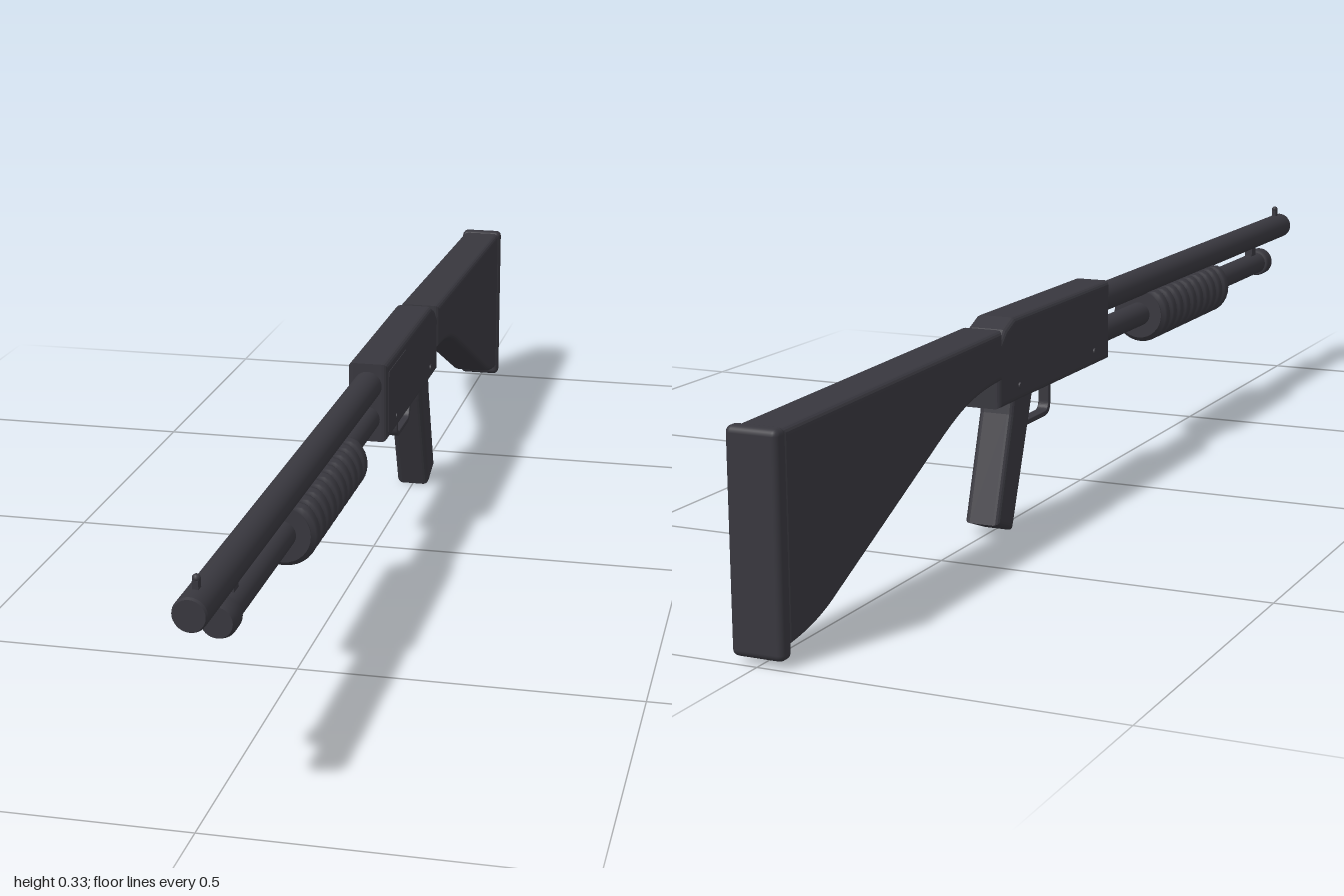
import * as THREE from 'three';
import { RoundedBoxGeometry } from 'three/addons/geometries/RoundedBoxGeometry.js';

const BORE_Y = 0.29, TUBE_Y = 0.235;

export function createModel() {
  const group = new THREE.Group();
  const metal = new THREE.MeshStandardMaterial({ color: 0x38373e });
  metal.name = 'dark gunmetal';

  function add(name, geometry, x = 0, y = 0, z = 0) {
    const mesh = new THREE.Mesh(geometry, metal);
    mesh.name = name;
    mesh.position.set(x, y, z);
    group.add(mesh);
    return mesh;
  }

  // Side profile drawn as (z, y), extruded across x with rounded edges
  function slab(name, shape, width, bevel) {
    const g = new THREE.ExtrudeGeometry(shape, {
      depth: width - 2 * bevel, bevelThickness: bevel, bevelSize: bevel,
      bevelOffset: -bevel, bevelSegments: 4, curveSegments: 12,
    });
    g.translate(0, 0, bevel - width / 2);
    g.rotateY(-Math.PI / 2);
    return add(name, g);
  }

  const polygon = (pts) => new THREE.Shape(pts.map(([z, y]) => new THREE.Vector2(z, y)));

  // Turned part along z from (radius, z) points
  function turned(name, pts, y) {
    const g = new THREE.LatheGeometry(pts.map(([r, z]) => new THREE.Vector2(r, z)), 32);
    g.rotateX(Math.PI / 2);
    return add(name, g, 0, y, 0);
  }

  // Barrel and magazine tube
  turned('barrel', [[0, 0.02], [0.023, 0.02], [0.023, 0.02], [0.023, 0.996],
    [0.023, 0.996], [0.021, 1], [0.021, 1], [0, 1]], BORE_Y);
  turned('magazineTube', [[0, 0.02], [0.02, 0.02], [0.02, 0.02], [0.02, 0.87], [0.02, 0.87], [0, 0.87]], TUBE_Y);
  turned('magazineCap', [[0, 0.852], [0.022, 0.852], [0.025, 0.857], [0.025, 0.878],
    [0.021, 0.888], [0.021, 0.888], [0, 0.888]], TUBE_Y);
  add('barrelBracket', new THREE.BoxGeometry(0.014, 0.04, 0.022), 0, 0.262, 0.822);

  // Front sight
  add('sightBase', new THREE.BoxGeometry(0.008, 0.016, 0.012), 0, 0.316, 0.966);
  add('sightBead', new THREE.SphereGeometry(0.0055, 12, 8), 0, 0.326, 0.966);

  // Ribbed pump handle, flattened on top beneath the barrel
  const ribs = 10, start = 0.248, pitch = 0.0325;
  const profile = [[0, start], [0.041, start], [0.041, start]];
  for (let i = 0; i < ribs; i++) {
    const z = start + i * pitch;
    profile.push([0.041, z + 0.004], [0.047, z + 0.006], [0.049, z + 0.011],
      [0.049, z + 0.022], [0.047, z + 0.027], [0.041, z + 0.029]);
  }
  const end = start + ribs * pitch;
  profile.push([0.041, end], [0.041, end], [0, end]);
  const pump = turned('pumpHandle', profile, TUBE_Y).geometry;
  const p = pump.attributes.position;
  for (let i = 0; i < p.count; i++) p.setY(i, Math.min(p.getY(i), 0.038));
  pump.computeVertexNormals();

  // Receiver with sloped rear shoulder
  slab('receiver', polygon([[0.045, 0.198], [0.045, 0.326], [-0.315, 0.326],
    [-0.345, 0.313], [-0.367, 0.293], [-0.367, 0.198]]), 0.064, 0.009);
  add('sidePanel', new THREE.BoxGeometry(0.002, 0.1, 0.13), 0.032, 0.262, -0.03);
  for (const z of [-0.02, -0.3]) {
    const pin = add('receiverPin', new THREE.CylinderGeometry(0.005, 0.005, 0.069, 12), 0, 0.222, z);
    pin.rotation.z = Math.PI / 2;
  }

  // Shoulder stock
  const stock = new THREE.Shape();
  stock.moveTo(-0.362, 0.315);
  stock.lineTo(-0.978, 0.302);
  stock.lineTo(-0.978, 0.026);
  stock.bezierCurveTo(-0.93, 0.03, -0.89, 0.04, -0.85, 0.06);
  stock.lineTo(-0.56, 0.193);
  stock.bezierCurveTo(-0.49, 0.225, -0.45, 0.236, -0.362, 0.24);
  slab('stock', stock, 0.07, 0.009);
  add('buttPad', new RoundedBoxGeometry(0.075, 0.294, 0.025, 3, 0.009), 0, 0.158, -0.9875);

  // Pistol grip
  slab('grip', polygon([[-0.24, 0.21], [-0.312, 0.21], [-0.318, 0.18],
    [-0.37, 0.022], [-0.316, 0.002], [-0.25, 0.178]]), 0.056, 0.009);

  // Trigger guard: narrow bent strip
  const guard = new THREE.Shape();
  guard.moveTo(-0.138, 0.205);
  guard.lineTo(-0.138, 0.165);
  guard.quadraticCurveTo(-0.138, 0.143, -0.16, 0.143);
  guard.lineTo(-0.225, 0.143);
  guard.quadraticCurveTo(-0.243, 0.143, -0.25, 0.165);
  guard.lineTo(-0.262, 0.205);
  guard.lineTo(-0.254, 0.205);
  guard.lineTo(-0.243, 0.168);
  guard.quadraticCurveTo(-0.238, 0.151, -0.225, 0.151);
  guard.lineTo(-0.16, 0.151);
  guard.quadraticCurveTo(-0.146, 0.151, -0.146, 0.165);
  guard.lineTo(-0.146, 0.205);
  slab('triggerGuard', guard, 0.018, 0.0015);

  // Curved trigger
  const path = new THREE.QuadraticBezierCurve3(
    new THREE.Vector3(0, 0.205, -0.208), new THREE.Vector3(0, 0.182, -0.222), new THREE.Vector3(0, 0.164, -0.21));
  add('trigger', new THREE.TubeGeometry(path, 10, 0.004, 8));

  return group;
}
